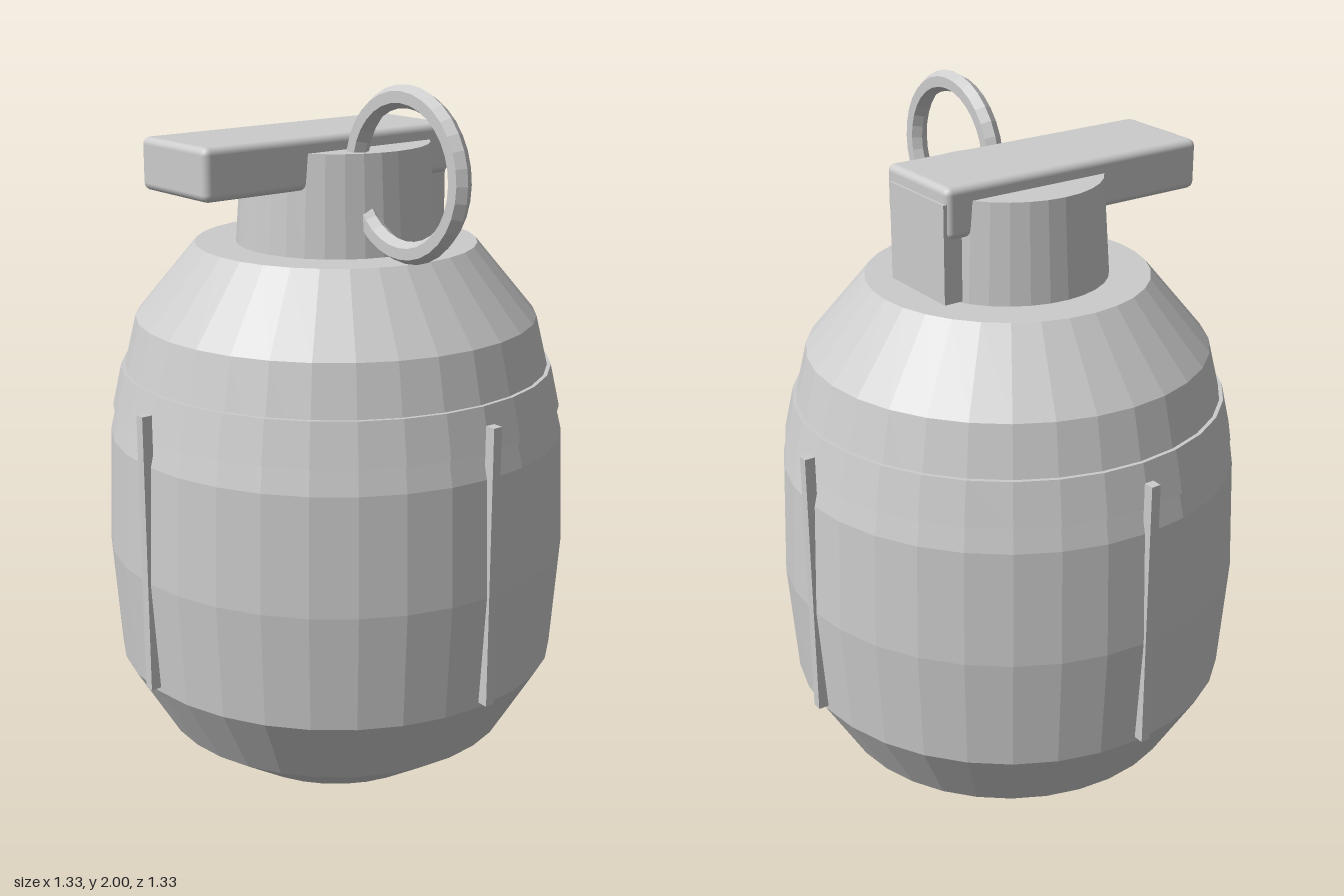
import * as THREE from 'three';
import { RoundedBoxGeometry } from 'three/addons/geometries/RoundedBoxGeometry.js';

const SIDES = 32;

export function createModel() {
  const model = new THREE.Group();
  model.name = 'ringPullCanister';
  const grey = new THREE.MeshStandardMaterial({ color: 0xcccccc });
  grey.name = 'light grey';

  const add = (name, geometry, x = 0, y = 0, z = 0) => {
    const mesh = new THREE.Mesh(geometry, grey);
    mesh.name = name;
    mesh.position.set(x, y, z);
    model.add(mesh);
    return mesh;
  };

  // Give every face its own normal for a faceted look
  const faceted = (geometry) => {
    const flat = geometry.toNonIndexed();
    flat.computeVertexNormals();
    return flat;
  };
  const turned = (profile) => faceted(new THREE.LatheGeometry(
    profile.map(([r, y]) => new THREE.Vector2(r, y)), SIDES));

  // Barrel body with closed base and flat shoulder
  add('body', turned([
    [0, 0], [0.315, 0], [0.51, 0.13], [0.635, 0.34], [0.658, 0.67],
    [0.645, 1.0], [0.565, 1.33], [0.395, 1.535], [0, 1.535],
  ]));

  // Thin band hugging the upper body
  add('band', turned([[0.59, 1.07], [0.637, 1.07], [0.61, 1.19], [0.57, 1.19]]));

  // Tapered neck
  add('neck', turned([[0.28, 1.53], [0.26, 1.81], [0, 1.81]]));

  // Four upright ribs around the body
  for (let i = 0; i < 4; i++) {
    const a = (i * Math.PI) / 2;
    const rib = add('rib', new THREE.BoxGeometry(0.028, 0.79, 0.03),
      Math.sin(a) * 0.65, 0.75, Math.cos(a) * 0.65);
    rib.rotation.y = a;
  }

  // Lever across the top with its hanging rear plate
  add('lever', new RoundedBoxGeometry(0.296, 0.14, 0.83, 2, 0.02), 0, 1.782, 0.124);
  add('leverPlate', new THREE.BoxGeometry(0.26, 0.27, 0.055), -0.01, 1.675, -0.27);

  // Pull ring with a six-sided section
  add('pullRing', faceted(new THREE.TorusGeometry(0.2, 0.03, 6, 32)), 0.39, 1.77, 0.083);

  return model;
}
